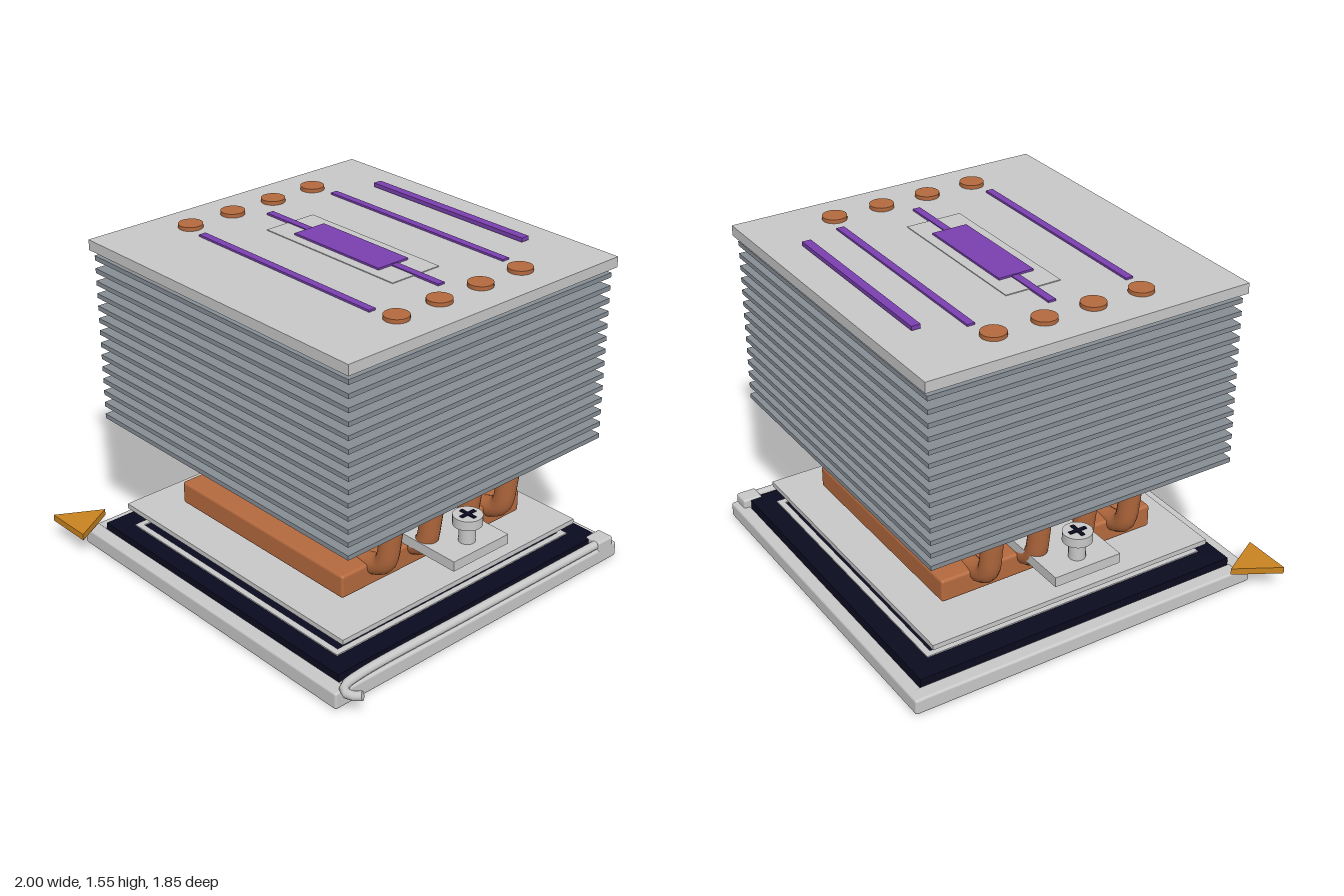
import * as THREE from 'three';
import { RoundedBoxGeometry } from 'three/addons/geometries/RoundedBoxGeometry.js';

const mat = (name, color) => {
  const m = new THREE.MeshStandardMaterial({ color });
  m.name = name;
  return m;
};

export function createModel() {
  const steel = mat('light steel', 0xc8c8c8);
  const fin = mat('fin grey', 0x868e95);
  const copper = mat('copper', 0xb56a3e);
  const purple = mat('purple', 0x7a40b0);
  const gold = mat('gold', 0xc98420);
  const dark = mat('dark navy', 0x0b0b20);

  const model = new THREE.Group();
  model.name = 'processorCooler';

  const add = (name, geometry, material, x = 0, y = 0, z = 0) => {
    const mesh = new THREE.Mesh(geometry, material);
    mesh.name = name;
    mesh.position.set(x, y, z);
    model.add(mesh);
    return mesh;
  };
  // Box given by its extents on each axis, optionally with rounded edges
  const box = (name, material, [x0, x1], [y0, y1], [z0, z1], r = 0) => {
    const size = [x1 - x0, y1 - y0, z1 - z0];
    const geometry = r ? new RoundedBoxGeometry(...size, 2, r) : new THREE.BoxGeometry(...size);
    return add(name, geometry, material, (x0 + x1) / 2, (y0 + y1) / 2, (z0 + z1) / 2);
  };
  // Flat triangle pointing to the back
  const triangle = (name, x0, x1, z0, z1, y, h) => {
    const s = new THREE.Shape();
    s.moveTo(x0, -z1);
    s.lineTo(x1, -z1);
    s.lineTo((x0 + x1) / 2, -z0);
    s.closePath();
    const g = new THREE.ExtrudeGeometry(s, { depth: h, bevelEnabled: false });
    g.rotateX(-Math.PI / 2);
    add(name, g, gold, 0, y, 0);
  };

  // Socket: dark body inside a metal frame
  box('socketBase', dark, [-0.84, 0.87], [0, 0.06], [-0.895, 0.81]);
  box('socketBody', dark, [-0.79, 0.83], [0.05, 0.112], [-0.858, 0.765]);
  box('frameFront', steel, [-0.865, 0.895], [0.003, 0.085], [0.765, 0.837], 0.012);
  box('frameBack', steel, [-0.865, 0.895], [0.003, 0.078], [-0.925, -0.86], 0.012);
  box('frameLeft', steel, [0.83, 0.895], [0.003, 0.08], [-0.9, 0.82], 0.012);
  box('frameRight', steel, [-0.865, -0.79], [0.003, 0.08], [-0.9, 0.82], 0.012);
  box('leverHinge', steel, [0.81, 0.895], [0.06, 0.12], [-0.895, -0.8], 0.01);

  // Thin rim around the chip
  box('rimFront', steel, [-0.68, 0.73], [0.112, 0.118], [0.65, 0.68]);
  box('rimBack', steel, [-0.68, 0.73], [0.112, 0.118], [-0.76, -0.73]);
  for (const x of [-0.68, 0.7]) box('rimSide', steel, [x, x + 0.03], [0.112, 0.118], [-0.73, 0.65]);

  // Locking lever along the left side, bent outward at the front
  const lever = new THREE.CatmullRomCurve3([
    [0.868, 0.097, -0.84], [0.868, 0.097, 0], [0.87, 0.097, 0.68],
    [0.885, 0.093, 0.78], [0.92, 0.09, 0.805], [0.96, 0.093, 0.795], [0.99, 0.1, 0.775],
  ].map((p) => new THREE.Vector3(...p)));
  add('lever', new THREE.TubeGeometry(lever, 48, 0.021, 10), steel);
  const tip = add('leverTip', new THREE.CircleGeometry(0.021, 10), steel);
  tip.position.copy(lever.getPoint(1));
  tip.lookAt(lever.getPoint(1).add(lever.getTangent(1)));

  // Chip substrate, small components and heat spreader
  box('chipBoard', dark, [-0.625, 0.66], [0.112, 0.15], [-0.685, 0.6]);
  for (let i = 0; i < 8; i++) {
    const x = -0.45 + i * 0.15;
    const z = -0.57 + i * 0.15;
    for (const e of [-0.65, 0.565]) box('capacitor', dark, [x, x + 0.04], [0.15, 0.163], [e - 0.015, e + 0.015]);
    for (const e of [-0.595, 0.63]) box('capacitor', dark, [e - 0.015, e + 0.015], [0.15, 0.163], [z, z + 0.04]);
  }
  box('spreaderBase', fin, [-0.55, 0.58], [0.15, 0.186], [-0.61, 0.53]);
  box('loadPlate', steel, [-0.73, 0.765], [0.185, 0.209], [-0.76, 0.68]);
  box('spreaderTop', steel, [-0.475, 0.51], [0.208, 0.236], [-0.53, 0.447]);
  triangle('chipMarker', -0.635, -0.48, 0.44, 0.585, 0.15, 0.018);
  triangle('cornerMarker', -1, -0.76, 0.71, 0.92, 0.093, 0.032);

  // Copper contact block
  box('copperBase', copper, [-0.53, 0.57], [0.235, 0.347], [-0.595, 0.505], 0.014);

  // Heat pipes, mirrored around the middle of the block
  const cx = 0.018;
  for (const z of [-0.405, -0.165, 0.073, 0.313]) {
    for (const side of [-1, 1]) {
      const path = new THREE.CatmullRomCurve3([
        [0.1, 0.285], [0.35, 0.305], [0.53, 0.328], [0.61, 0.37],
        [0.643, 0.5], [0.66, 0.7], [0.657, 1.1], [0.657, 1.5],
      ].map(([x, y]) => new THREE.Vector3(cx + side * x, y, z)));
      add('heatPipe', new THREE.TubeGeometry(path, 56, 0.049, 16), copper);
      add('pipeCap', new THREE.CylinderGeometry(0.056, 0.056, 0.05, 24), copper, cx + side * 0.657, 1.518, z);
    }
  }

  // Mounting bar with two screws
  box('mountingBar', steel, [-0.82, 0.855], [0.347, 0.395], [-0.21, 0.125]);
  for (const x of [-0.735, 0.768]) {
    add('screwShaft', new THREE.CylinderGeometry(0.038, 0.038, 0.1, 20), steel, x, 0.44, -0.042);
    add('screwHead', new THREE.CylinderGeometry(0.067, 0.067, 0.045, 24), steel, x, 0.503, -0.042);
    for (const a of [0, Math.PI / 2]) {
      const slot = add('screwSlot', new THREE.BoxGeometry(0.085, 0.006, 0.018), dark, x, 0.527, -0.042);
      slot.rotation.y = a;
    }
  }

  // Fin stack and cover plate
  for (let i = 0; i < 14; i++) {
    const y = 0.66 + i * 0.06;
    box('coolingFin', fin, [-0.803, 0.84], [y - 0.011, y + 0.011], [-0.805, 0.72]);
  }
  box('coverPlate', steel, [-0.82, 0.855], [1.476, 1.525], [-0.823, 0.735]);

  // Decorative strips on the cover
  box('centrePad', steel, [-0.38, 0.42], [1.525, 1.529], [-0.18, 0.09]);
  box('centreBlock', purple, [-0.25, 0.285], [1.529, 1.538], [-0.13, 0.042]);
  for (const z of [-0.437, -0.05, 0.338]) {
    box('thinStrip', purple, [-0.525, 0.563], [1.525, 1.534], [z - 0.018, z + 0.018]);
  }
  box('rearStrip', purple, [-0.45, 0.483], [1.533, 1.552], [-0.665, -0.623]);

  return model;
}
